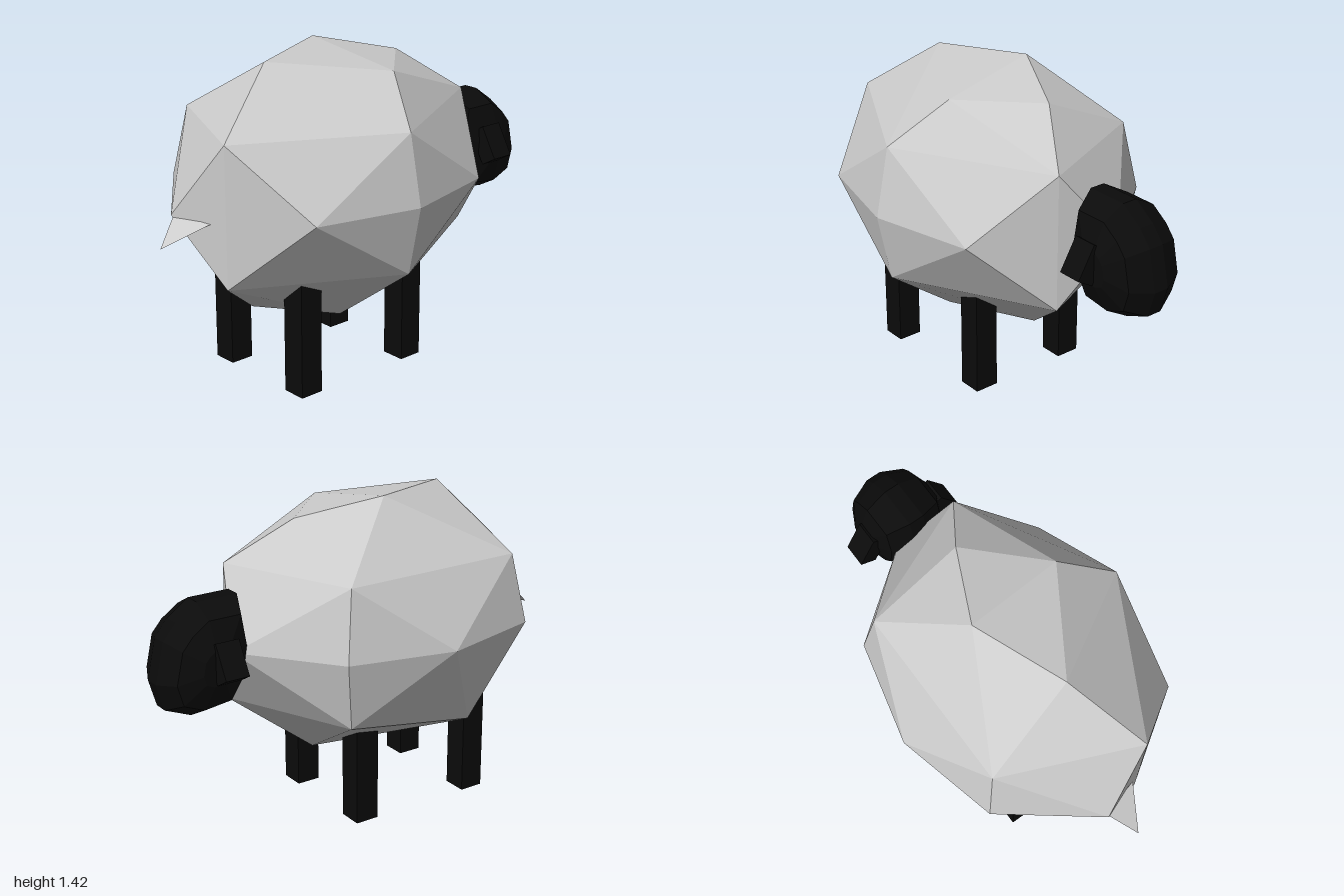
import * as THREE from 'three';
import { ConvexGeometry } from 'three/addons/geometries/ConvexGeometry.js';

const wool = new THREE.MeshStandardMaterial({ color: 0xcccccc, flatShading: true });
const dark = new THREE.MeshStandardMaterial({ color: 0x0b0b0b, flatShading: true });

const v = (x, y, z) => new THREE.Vector3(x, y, z);

function add(parent, name, geometry, material) {
  const mesh = new THREE.Mesh(geometry, material);
  mesh.name = name;
  parent.add(mesh);
  return mesh;
}

// Faceted fleece: a belt around the middle, five-sided rings above and below, uneven caps
function fleecePoints() {
  const cx = -0.115, cy = 0.841;
  const points = [];
  for (const s of [-1, 1]) {
    points.push(v(cx, cy, s * 0.591));
    for (const m of [-1, 1]) points.push(v(cx + m * 0.468, cy, s * 0.478));
    points.push(v(cx, cy + s * 0.309, 0.527));
    for (const m of [-1, 1]) {
      points.push(v(cx + m * 0.675, cy + s * 0.309, 0.163));
      // the lower back corner is pulled in under the belly
      if (s < 0 && m < 0) points.push(v(-0.314, 0.43, -0.428));
      else points.push(v(cx + m * 0.42, cy + s * 0.309, -0.428));
    }
  }
  points.push(v(-0.885, 0.82, -0.08), v(0.66, 0.84, -0.08)); // rump and chest
  points.push(v(0.01, 1.343, 0.294), v(0.305, 1.343, 0), v(-0.04, 1.425, -0.166), v(-0.447, 1.403, 0)); // back
  points.push(v(-0.535, 0.34, 0), v(0.225, 0.276, 0), v(-0.18, 0.255, 0.166)); // belly
  return points;
}

// Head: one side profile, shrunk towards each cheek
function headPoints() {
  const profile = [
    [0.61, 1.08], [0.80, 1.08], [0.90, 1.01], [0.96, 0.94], [1.0, 0.76],
    [0.965, 0.64], [0.845, 0.59], [0.68, 0.61], [0.61, 0.72], [0.58, 0.9],
  ];
  const points = [];
  for (const [z, k] of [[0.035, 1], [0.135, 0.78], [0.183, 0.32]])
    for (const s of [-1, 1])
      for (const [x, y] of profile)
        points.push(v(0.79 + (x - 0.79) * k, 0.835 + (y - 0.835) * k, s * z));
  return points;
}

export function createModel() {
  const group = new THREE.Group();
  group.name = 'sheep';

  add(group, 'body', new ConvexGeometry(fleecePoints()), wool);
  add(group, 'head', new ConvexGeometry(headPoints()), dark);

  // Pointed tail
  add(group, 'tail', new ConvexGeometry([
    v(-1, 0.72, 0), v(-0.87, 0.82, -0.08), v(-0.82, 0.81, 0.1), v(-0.84, 0.77, 0),
  ]), wool);

  for (const s of [-1, 1]) {
    const side = s > 0 ? 'Near' : 'Far';

    // Ears slope out and down
    const ear = add(group, 'ear' + side, new THREE.BoxGeometry(0.11, 0.16, 0.085), dark);
    ear.position.set(0.745, 0.853, s * 0.187);
    ear.rotation.x = -s * Math.PI / 6;

    // Legs run up into the body
    for (const [name, x] of [['foreLeg', 0.13], ['hindLeg', -0.455]]) {
      const leg = add(group, name + side, new THREE.BoxGeometry(0.11, 0.55, 0.112), dark);
      leg.position.set(x, 0.275, s * 0.239);
    }
  }
  return group;
}
